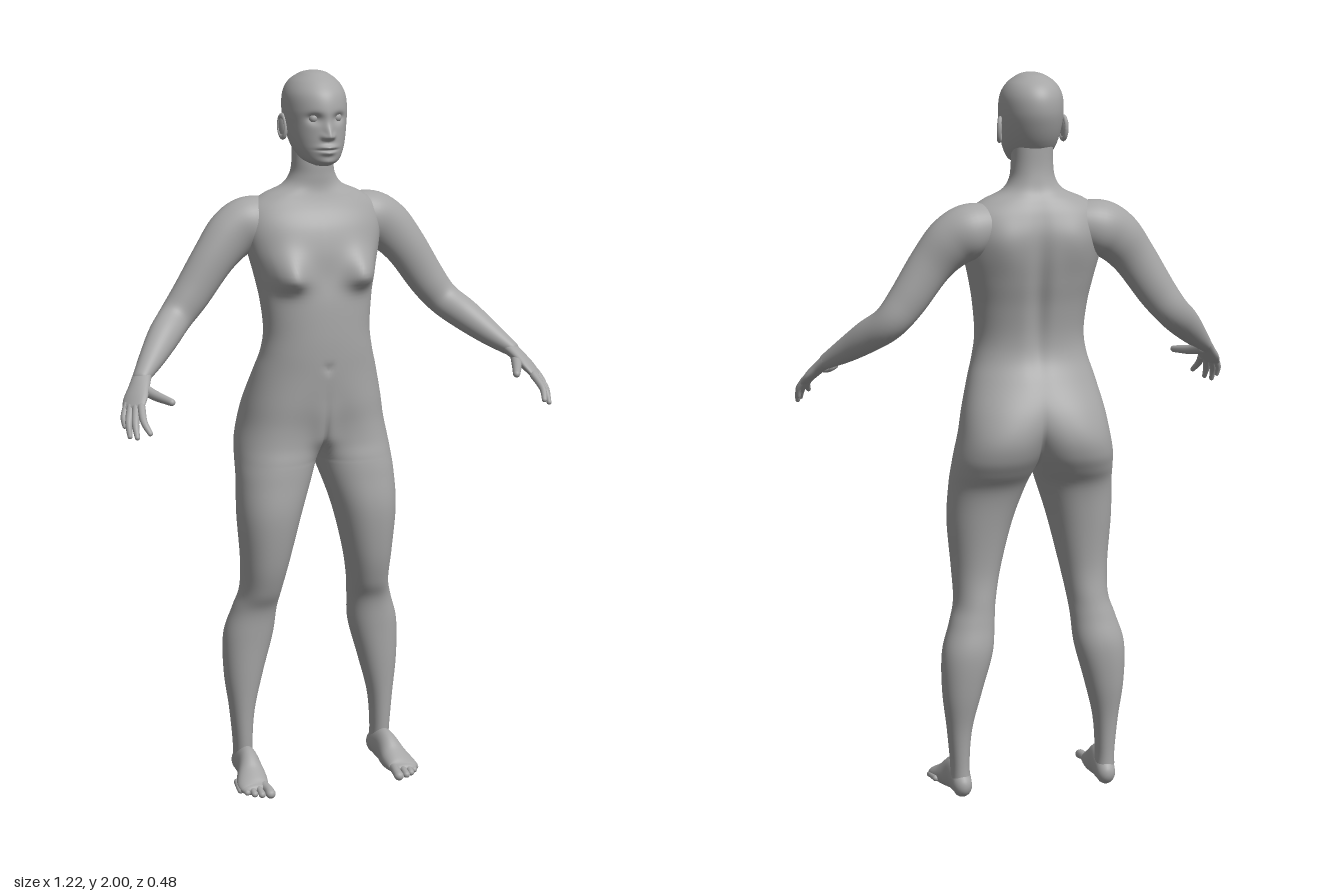
import * as THREE from 'three';
import { mergeVertices, mergeGeometries } from 'three/addons/utils/BufferGeometryUtils.js';

// Smoothly interpolated cross-sections: each row is a list of numbers
function sample(rows, steps) {
  const out = [], last = rows.length - 1, at = i => rows[Math.min(last, Math.max(0, i))];
  for (let k = 0; k <= last * steps; k++) {
    const i = Math.min(last - 1, Math.floor(k / steps)), t = k / steps - i;
    out.push(rows[i].map((_, c) => {
      const p0 = at(i - 1)[c], p1 = at(i)[c], p2 = at(i + 1)[c], p3 = at(i + 2)[c];
      return p1 + 0.5 * t * (p2 - p0 + t * (2 * p0 - 5 * p1 + 4 * p2 - p3 + t * (3 * (p1 - p2) + p3 - p0)));
    }));
  }
  return out;
}

// Skin a list of rings with equal point counts
function skin(rings, flip) {
  const n = rings[0].length, index = [];
  for (let i = 0; i < rings.length - 1; i++) for (let j = 0; j < n - 1; j++) {
    const a = i * n + j, b = a + 1, c = a + n, d = c + 1;
    if (flip) index.push(a, b, c, b, d, c);
    else index.push(a, c, b, b, c, d);
  }
  const g = new THREE.BufferGeometry();
  g.setAttribute('position', new THREE.Float32BufferAttribute(rings.flat(2), 3));
  g.setIndex(index);
  return g;
}

function smooth(g) {
  const m = mergeVertices(g, 1e-5);
  m.computeVertexNormals();
  return m;
}

function mirrored(g) {
  const m = g.clone().scale(-1, 1, 1), ix = m.index.array;
  for (let i = 0; i < ix.length; i += 3) [ix[i], ix[i + 1]] = [ix[i + 1], ix[i]];
  if (m.attributes.normal) m.computeVertexNormals();
  return m;
}

// Symmetric loft going up; rows: y, inner x, outer x, front z, back z.
// Bumps push the surface along z: x, y, width, height above, height below, amount, side (1 front, -1 back)
function symmetricLoft(rows, steps, sides, power, bumps) {
  const rings = sample(rows, steps).map(([y, xin, xout, zf, zb]) => {
    const cx = (xin + xout) / 2, rx = Math.max(1e-4, (xout - xin) / 2), cz = (zf + zb) / 2, rz = (zf - zb) / 2;
    // the arc stops where it meets the middle plane
    const end = xin < 0 ? Math.acos(-Math.pow(Math.min(1, Math.max(0, cx / rx)), 1 / power)) : Math.PI;
    const ring = [];
    for (let j = 0; j <= sides; j++) {
      const t = -end + 2 * end * j / sides, c = Math.cos(t), s = Math.sin(t);
      let x = cx + rx * Math.sign(c) * Math.abs(c) ** power;
      if (xin < 0 && (j === 0 || j === sides)) x = 0;
      let z = cz + rz * Math.sign(s) * Math.abs(s) ** power;
      for (const [bx, by, w, up, down, amount, side] of bumps) {
        const dy = (y - by) / (y > by ? up : down), dx = (x - bx) / w;
        z += amount * side * Math.min(1, Math.max(0, 1.6 * s * side)) * Math.exp(-dx * dx - dy * dy);
      }
      ring.push([x, y, z]);
    }
    return ring;
  });
  const half = skin(rings, false);
  return smooth(mergeGeometries([half, mirrored(half)]));
}

// Round-ended limb; rows: x, y, z, radius across, radius along ref
function limb(rows, ref, sides = 24, steps = 6) {
  const r = sample(rows, steps), n = r.length - 1, up = new THREE.Vector3(...ref);
  const P = r.map(v => new THREE.Vector3(v[0], v[1], v[2])), rings = [];
  const add = (i, phi, sign) => {
    const T = P[Math.min(n, i + 1)].clone().sub(P[Math.max(0, i - 1)]).normalize();
    const A = up.clone().cross(T).normalize(), B = T.clone().cross(A);
    const ra = r[i][3], rb = r[i][4], k = Math.cos(phi);
    const C = P[i].clone().addScaledVector(T, sign * Math.min(ra, rb) * Math.sin(phi));
    rings.push(Array.from({ length: sides + 1 }, (_, j) => {
      const t = (j % sides) / sides * Math.PI * 2;
      const p = C.clone().addScaledVector(A, ra * k * Math.cos(t)).addScaledVector(B, rb * k * Math.sin(t));
      return [p.x, Math.max(0, p.y), p.z];
    }));
  };
  for (let k = 5; k > 0; k--) add(0, k / 5 * Math.PI / 2, -1);
  for (let i = 0; i <= n; i++) add(i, 0, 1);
  for (let k = 1; k <= 5; k++) add(n, k / 5 * Math.PI / 2, 1);
  return smooth(skin(rings, true));
}

export function createModel() {
  const model = new THREE.Group();
  model.name = 'figure';
  const clay = new THREE.MeshStandardMaterial({ color: 0xa6a6a6 });
  clay.name = 'grey clay';
  const part = (name, g) => {
    const m = new THREE.Mesh(g, clay);
    m.name = name;
    model.add(m);
  };
  const pair = (name, g) => {
    part(name + 'Left', g);
    part(name + 'Right', mirrored(g));
  };

  // Legs, hips, torso and neck in one skin
  const full = (y, w, zf, zb) => [y, -w, w, zf, zb];
  part('body', symmetricLoft([
    [0.04, 0.18, 0.235, -0.065, -0.135], [0.1, 0.183, 0.236, -0.06, -0.135],
    [0.2, 0.175, 0.245, -0.055, -0.143], [0.31, 0.148, 0.258, -0.048, -0.162],
    [0.42, 0.118, 0.258, -0.042, -0.17], [0.5, 0.11, 0.235, -0.033, -0.155],
    [0.56, 0.103, 0.218, -0.005, -0.145], [0.65, 0.085, 0.22, 0.022, -0.137],
    [0.78, 0.052, 0.23, 0.04, -0.15], [0.88, 0.018, 0.227, 0.035, -0.17],
    [0.935, -0.002, 0.223, 0.03, -0.205], [0.98, -0.02, 0.218, 0.024, -0.23],
    [1.035, -0.045, 0.207, 0.025, -0.24], [1.1, -0.1, 0.195, 0.035, -0.226],
    [1.18, -0.172, 0.175, 0.045, -0.19], full(1.24, 0.158, 0.048, -0.162),
    full(1.3, 0.15, 0.048, -0.156), full(1.38, 0.157, 0.044, -0.167),
    full(1.45, 0.17, 0.034, -0.183), full(1.52, 0.187, 0.028, -0.195),
    full(1.58, 0.195, 0.013, -0.197), full(1.63, 0.185, -0.012, -0.184),
    full(1.665, 0.14, -0.025, -0.168), full(1.69, 0.085, -0.03, -0.153),
    full(1.72, 0.062, -0.03, -0.145), full(1.76, 0.056, -0.03, -0.14), full(1.82, 0.055, -0.04, -0.14),
  ], 6, 64, 0.93, [
    [0.105, 1.45, 0.048, 0.06, 0.034, 0.05, 1],   // bust
    [0, 1.0, 0.035, 0.08, 0.05, 0.03, 1],         // lower belly
    [0, 1.2, 0.012, 0.012, 0.012, -0.006, 1],     // navel
    [0, 1.4, 0.025, 0.2, 0.17, -0.016, -1],       // spine
    [0.1, 1.56, 0.05, 0.06, 0.07, 0.01, -1],      // shoulder blades
  ]));

  // Head with sculpted face
  part('head', symmetricLoft([
    full(1.752, 0.022, 0.022, -0.03), full(1.765, 0.048, 0.036, -0.08), full(1.79, 0.065, 0.041, -0.125),
    full(1.82, 0.075, 0.041, -0.152), full(1.86, 0.082, 0.04, -0.173), full(1.9, 0.085, 0.042, -0.185),
    full(1.94, 0.081, 0.031, -0.182), full(1.97, 0.065, 0.004, -0.162),
    full(1.99, 0.039, -0.027, -0.126), full(1.997, 0.02, -0.048, -0.098), full(2, 0, -0.07, -0.07),
  ], 12, 80, 1, [
    [0, 1.832, 0.011, 0.028, 0.008, 0.02, 1],     // nose
    [0.013, 1.831, 0.008, 0.009, 0.007, 0.008, 1],// nostrils
    [0.034, 1.88, 0.018, 0.012, 0.014, -0.014, 1],// eye sockets
    [0, 1.803, 0.022, 0.007, 0.006, 0.011, 1],    // upper lip
    [0, 1.789, 0.019, 0.006, 0.007, 0.009, 1],    // lower lip
    [0, 1.796, 0.024, 0.003, 0.003, -0.006, 1],   // mouth line
    [0, 1.763, 0.02, 0.01, 0.01, 0.004, 1],       // chin
  ]));
  pair('eye', new THREE.SphereGeometry(0.013, 20, 14).translate(0.033, 1.88, 0.014));

  // Ears: a rim around a shallow bowl
  const rim = new THREE.TorusGeometry(0.02, 0.006, 10, 28).scale(0.75, 1.4, 1);
  const bowl = new THREE.SphereGeometry(0.02, 20, 12).scale(0.75, 1.4, 0.3);
  pair('ear', mergeGeometries([rim, bowl]).rotateY(Math.PI / 2 - 0.35).rotateX(-0.12).translate(0.087, 1.85, -0.082));

  // Arms from inside the shoulder to the wrist
  pair('arm', limb([
    [0.1, 1.6, -0.11, 0.055, 0.055], [0.17, 1.588, -0.112, 0.074, 0.07], [0.225, 1.56, -0.108, 0.071, 0.06],
    [0.28, 1.5, -0.1, 0.06, 0.049], [0.345, 1.405, -0.098, 0.053, 0.044], [0.392, 1.347, -0.09, 0.047, 0.042],
    [0.44, 1.305, -0.045, 0.044, 0.042], [0.49, 1.26, 0.01, 0.034, 0.035], [0.535, 1.222, 0.062, 0.021, 0.027],
  ], [0, 0, 1], 40));

  // Hands: palm, four fingers and thumb
  const across = [0.5, 0, -0.86];
  pair('palm', limb([
    [0.53, 1.226, 0.055, 0.02, 0.026], [0.547, 1.205, 0.085, 0.017, 0.031],
    [0.565, 1.18, 0.112, 0.015, 0.037], [0.577, 1.16, 0.133, 0.011, 0.034],
  ], across));
  const fingers = [
    ['indexFinger', [0.562, 1.163, 0.155], [0.569, 1.135, 0.2], [0.561, 1.11, 0.23]],
    ['middleFinger', [0.573, 1.16, 0.142], [0.586, 1.125, 0.18], [0.588, 1.095, 0.203]],
    ['ringFinger', [0.583, 1.16, 0.127], [0.598, 1.125, 0.158], [0.6, 1.093, 0.175]],
    ['littleFinger', [0.59, 1.163, 0.112], [0.604, 1.135, 0.13], [0.604, 1.112, 0.14]],
    ['thumb', [0.54, 1.2, 0.085], [0.52, 1.188, 0.135], [0.492, 1.18, 0.195]],
  ];
  for (const [name, root, mid, tip] of fingers) {
    const r = name === 'thumb' ? 0.015 : name === 'littleFinger' ? 0.009 : 0.0105;
    pair(name, limb([[...root, r, r], [...mid, r * 0.9, r * 0.9], [...tip, r * 0.65, r * 0.65]], across, 14, 5));
  }

  // Feet and toes
  pair('foot', limb([
    [0.207, 0.036, -0.12, 0.027, 0.034], [0.208, 0.046, -0.09, 0.03, 0.046], [0.21, 0.047, -0.045, 0.031, 0.05],
    [0.216, 0.03, 0.0, 0.041, 0.037], [0.225, 0.02, 0.04, 0.044, 0.024], [0.225, 0.016, 0.06, 0.038, 0.016],
  ], [0, 1, 0], 32));
  [[0.193, 0.1, 0.014], [0.217, 0.098, 0.01], [0.235, 0.087, 0.0095], [0.251, 0.07, 0.009], [0.264, 0.048, 0.009]]
    .forEach(([x, z, r], i) => pair('toe' + (i + 1), limb([
      [x + (0.225 - x) * 0.15, 0.019, z - 0.05, r, r], [x, 0.018, z - 0.02, r * 0.9, r * 0.9], [x, 0.013, z, r, r * 0.95],
    ], [0, 1, 0], 14, 4)));

  return model;
}
